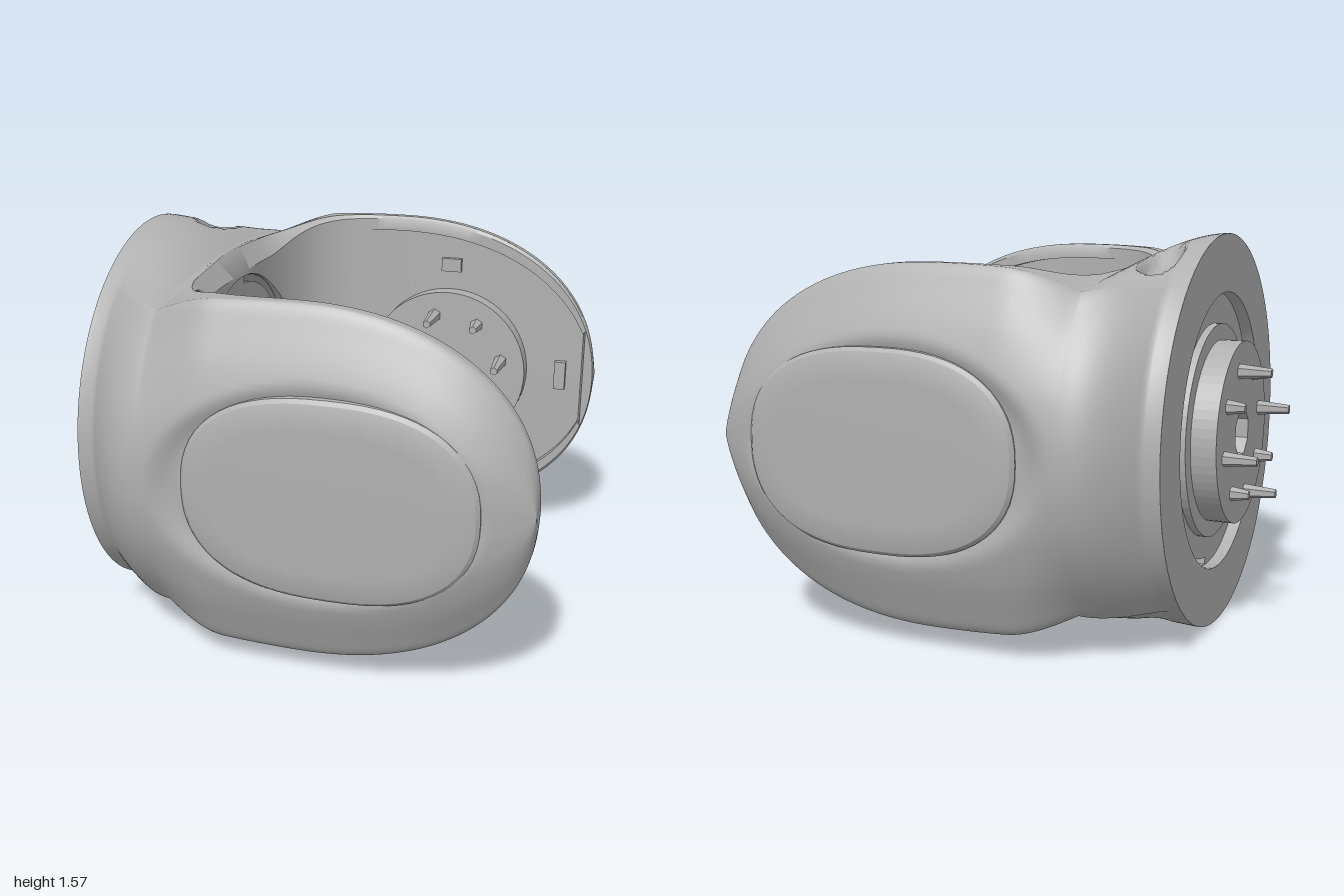
import * as THREE from 'three';
import { toCreasedNormals } from 'three/addons/utils/BufferGeometryUtils.js';

const { lerp, smoothstep, clamp } = THREE.MathUtils;
const CY = 0.785;      // height of the joint axis
const BORE = 0.555;    // radius of the opening in the base

// Surface through rows of [x, y, z] points
function grid(rows) {
  const n = rows[0].length, index = [];
  for (let i = 0; i < rows.length - 1; i++)
    for (let j = 0; j < n - 1; j++) {
      const a = i * n + j, b = a + 1, c = a + n, d = c + 1;
      index.push(a, b, c, b, d, c);
    }
  const g = new THREE.BufferGeometry();
  g.setAttribute('position', new THREE.Float32BufferAttribute(rows.flat(2), 3));
  g.setIndex(index);
  g.computeVertexNormals();
  return g;
}

// Half height along x: flange cone, then the arm outline
function halfHeight(x) {
  if (x < -0.46) return 0.785 - 0.125 * ((x + 0.79) / 0.33) ** 1.8;
  if (x < 0.1) return 0.695 - 0.035 * ((0.1 - x) / 0.56) ** 2;
  const u = Math.min(1, (x - 0.1) / 0.9);
  return 0.695 * (1 - u ** 2.2) ** (1 / 2.2);
}

// Rounded corner of the U in plan: half width at x
const P = 0.62;
function gapWidth(x, x0, zMax) {
  if (x <= x0) return 0;
  if (x >= 0.1) return zMax;
  const c = (1 - (x - x0) / (0.1 - x0)) ** (1 / P);
  return zMax * Math.sqrt(1 - c * c) ** P;
}

// Domed arm section: z, and y as a share of the half height
const half = [[0, 1], [0.3, 1], [0.6, 1], [0.76, 1], [0.8, 0.985], [0.84, 0.87], [0.9, 0.66], [0.945, 0.42], [0.962, 0.2], [0.965, 0]];
const full = [...half, ...half.slice(0, -1).reverse().map(([z, y]) => [z, -y])];
const armSection = new THREE.SplineCurve(full.map(p => new THREE.Vector2(...p))).getPoints(108);

// Section at x: a circle at the flange, an oval at the shoulder, then the arm dome
function sectionAt(x) {
  const h = halfHeight(x), k = smoothstep(x, -0.79, -0.2);
  const width = 0.785 + 0.18 * Math.sin(clamp((x + 0.72) / 0.27, 0, 1) * Math.PI / 2);
  const flat = x > 0.6 ? 1 - 0.65 * ((x - 0.6) / 0.4) ** 2 : 1;
  return armSection.map(p => {
    const z = p.x > 0.78 ? 0.78 + (p.x - 0.78) * flat : p.x * Math.min(1, width / 0.9);
    const a = Math.atan2(p.x / 0.965, p.y);
    return { z: lerp(width * Math.sin(a), z, k), y: h * lerp(Math.cos(a), p.y, k) };
  });
}

// Height of the upper skin at a given z on a section
function heightAt(section, z) {
  const i = Math.max(1, section.findIndex(p => p.z >= z));
  const a = section[i - 1], b = section[i];
  return lerp(a.y, b.y, clamp((z - a.z) / (b.z - a.z || 1), 0, 1));
}

// Outer skin: round flange blending into two domed arms
function outerSkin(side) {
  const xs = [];
  for (let i = 0; i <= 28; i++) xs.push(-0.79 + 0.33 * i / 28);
  for (let i = 1; i <= 75; i++) xs.push(-0.46 + 1.46 * Math.sin(i / 75 * Math.PI / 2));
  return grid(xs.map(x => {
    const section = sectionAt(x), gap = gapWidth(x, -0.46, 0.755), edge = heightAt(section, gap);
    return section.map(p => {
      let { z, y } = p;
      if (z < gap) {
        z = gap;
        y = Math.sign(y) * edge;
      }
      // oval dish around the side pad
      const q = Math.hypot((x - 0.21) / 0.65, y / 0.43);
      if (z > 0.77) z -= 0.045 * (1 - smoothstep(q, 0.8, 1));
      // finger dents on one side of the neck
      const e = Math.hypot((x + 0.63) / 0.08, (z - 0.32) / 0.18);
      if (side < 0 && Math.abs(y) > 0.4) y -= Math.sign(y) * 0.07 * (1 - smoothstep(e, 0.65, 1));
      return [x, y, side * z];
    });
  }));
}

// Inside of the U: bevelled mouth, bore in the base, arm faces sinking behind a lip
function innerSkin(side, up) {
  const path = [];
  for (let i = 0; i <= 48; i++) {
    const a = i / 48 * Math.PI / 2, c = Math.cos(a) ** P, s = Math.sin(a) ** P;
    path.push({ x: 0.1 - 0.5 * c, z: 0.745 * s, rx: 0.1 - 0.56 * c, rz: 0.755 * s });
  }
  for (let i = 1; i <= 40; i++) {
    const x = 0.1 + 0.9 * Math.sin(i / 40 * Math.PI / 2);
    path.push({ x, z: 0.745, rx: x, rz: 0.755 });
  }
  const rows = path.map(({ x, z, rx, rz }) => {
    const lip = lerp(0.57, Math.max(0, halfHeight(x) - 0.015), smoothstep(z, 0.3, 0.74));
    const bore = Math.sqrt(Math.max(0, BORE * BORE - z * z));
    const sink = x < 0.95 ? 0.04 * smoothstep(x, -0.15, 0.25) : 0;
    const step = Math.max(bore, lip - (sink ? 0.05 : 0.01));
    return [
      [rx, heightAt(sectionAt(rx), rz), rz], [x, lip, z], [x, step, z], [x, step, z + sink],
      [x, bore, z + sink], [bore > 0 ? -0.79 : x, bore, z + sink],
    ].map(([px, py, pz]) => [px, py * up, pz * side]);
  });
  return toCreasedNormals(grid(rows), 0.6);
}

function ovalShape(rx, ry) {
  const pts = [];
  for (let i = 0; i < 64; i++) {
    const a = i / 64 * Math.PI * 2, c = Math.cos(a), d = Math.sin(a);
    pts.push(new THREE.Vector2(rx * Math.sign(c) * Math.abs(c) ** 0.78, ry * Math.sign(d) * Math.abs(d) ** 0.78));
  }
  return new THREE.Shape(pts);
}

// Disc outline with a polygonal hole
function disc(r, hole, holeSides = 8) {
  const s = new THREE.Shape().absarc(0, 0, r, 0, Math.PI * 2, false);
  const pts = [];
  for (let i = 0; i < holeSides; i++) {
    const a = (i + 0.5) / holeSides * Math.PI * 2;
    pts.push(new THREE.Vector2(Math.cos(a) * hole, Math.sin(a) * hole));
  }
  s.holes.push(new THREE.Path(pts));
  return s;
}
const extrude = (shape, depth) => new THREE.ExtrudeGeometry(shape, { depth, bevelEnabled: false, curveSegments: 32 });

export function createModel() {
  const model = new THREE.Group();
  model.name = 'jointYoke';
  const body = new THREE.Group();
  body.name = 'yoke';
  body.position.y = CY;
  model.add(body);
  const grey = new THREE.MeshStandardMaterial({ color: 0xb0b0b0, side: THREE.DoubleSide });
  grey.name = 'grey';

  function add(name, geo, x = 0, y = 0, z = 0, parent = body) {
    const m = new THREE.Mesh(geo, grey);
    m.name = name;
    m.position.set(x, y, z);
    parent.add(m);
    return m;
  }

  // Shell halves and side pads
  for (const side of [1, -1]) {
    const label = side > 0 ? 'front' : 'back';
    add(label + 'Shell', outerSkin(side));
    for (const up of [1, -1]) add(label + 'InnerWall', innerSkin(side, up));
    const pad = new THREE.ExtrudeGeometry(ovalShape(0.45, 0.28), {
      depth: 0.04, bevelThickness: 0.03, bevelSize: 0.11, bevelSegments: 3,
    });
    const mesh = add(label + 'Pad', toCreasedNormals(pad, 0.5), 0.26, 0, side * 0.885);
    if (side < 0) mesh.rotation.x = Math.PI;
    // latch block and stop lugs on the recessed face
    add(label + 'Latch', new THREE.BoxGeometry(0.05, 0.13, 0.03), 0.85, 0, side * 0.772);
    for (const up of [1, -1]) add(label + 'Lug', new THREE.BoxGeometry(0.09, 0.06, 0.025), 0.33, up * 0.48, side * 0.775);
  }

  // Flat back face of the flange
  add('flangeFace', new THREE.RingGeometry(BORE, 0.785, 72), -0.79).rotation.y = -Math.PI / 2;

  // Base plate with centre hole and a curved slot
  const plate = disc(BORE, 0.11);
  const slot = new THREE.Path();
  slot.absarc(0, 0, 0.552, -1.5, 1.5, false);
  slot.absarc(0, 0, 0.522, 1.5, -1.5, true);
  plate.holes.push(slot);
  add('basePlate', extrude(plate, 0.335), -0.74).rotation.y = Math.PI / 2;
  add('centreRing', extrude(disc(0.15, 0.11), 0.012), -0.405).rotation.y = Math.PI / 2;
  for (const y of [-0.225, 0.225])
    for (const z of [-0.135, 0.135])
      add('boltSocket', extrude(disc(0.065, 0.045), 0.012), -0.405, y, z).rotation.y = Math.PI / 2;

  // Round connector with a ring of faceted pins, facing +z
  function connector(name, thick, pinLength) {
    const hub = new THREE.Group();
    hub.name = name;
    add('connectorDisc', extrude(disc(0.365, 0.1), thick), 0, 0, 0, hub);
    for (let i = 0; i < 8; i++) {
      const a = (i + 0.3) / 8 * Math.PI * 2, len = i % 2 ? pinLength * 0.55 : pinLength;
      const pin = new THREE.CylinderGeometry(0.018, 0.03, len, 6).rotateX(Math.PI / 2);
      add('pin', toCreasedNormals(pin, 0.4), 0.26 * Math.cos(a), 0.26 * Math.sin(a), thick + len / 2, hub);
    }
    body.add(hub);
    return hub;
  }
  const rear = connector('flangeConnector', 0.13, 0.13);
  rear.position.x = -0.74;
  rear.rotation.y = -Math.PI / 2;
  add('connectorStep', extrude(disc(0.43, 0.36, 48), 0.03), -0.77).rotation.y = Math.PI / 2;
  connector('armConnector', 0.075, 0.16).position.set(0.33, 0, -0.785);

  // Square socket on the opposite arm
  add('socketRing', extrude(disc(0.34, 0.19, 4), 0.025), 0.33, 0, 0.762);

  return model;
}
